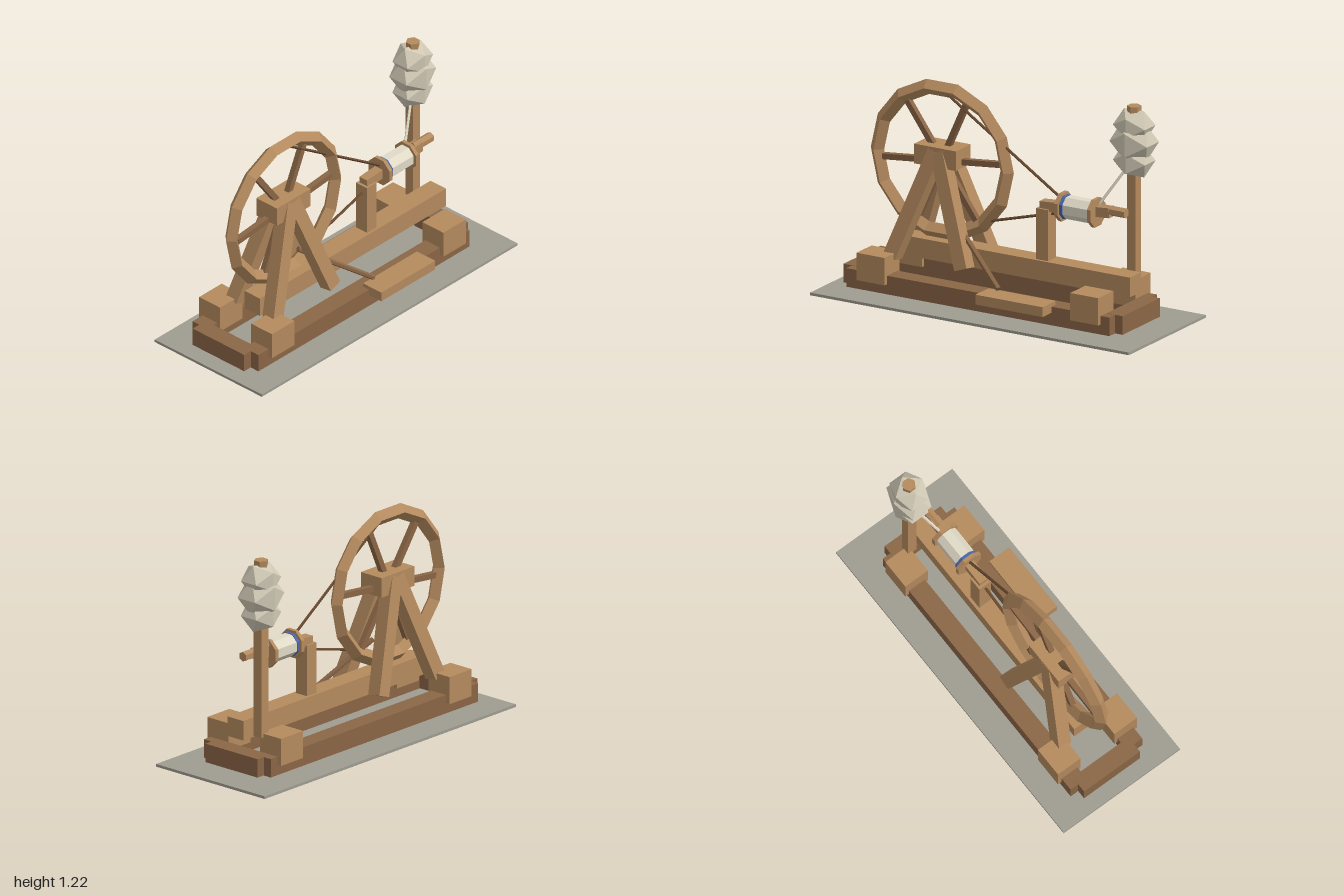
import * as THREE from 'three';

export function createModel() {
  const model = new THREE.Group();
  const mat = (name, color) => {
    const m = new THREE.MeshStandardMaterial({ color, flatShading: true });
    m.name = name;
    return m;
  };
  const lightWood = mat('light wood', 0xb48a5e);
  const darkWood = mat('dark wood', 0x8a6646);
  const cordBrown = mat('cord brown', 0x6a4a30);
  const stone = mat('stone grey', 0x9f9c91);
  const wool = mat('wool', 0xcfc8b4);
  const yarn = mat('yarn', 0xe0dac6);
  const blue = mat('blue', 0x4a66a8);

  const add = (name, geometry, material, x = 0, y = 0, z = 0) => {
    const m = new THREE.Mesh(geometry, material);
    m.name = name;
    m.position.set(x, y, z);
    model.add(m);
    return m;
  };
  // Box given by its limits on each axis
  const box = (name, material, x0, x1, y0, y1, z0, z1) =>
    add(name, new THREE.BoxGeometry(x1 - x0, y1 - y0, z1 - z0), material,
      (x0 + x1) / 2, (y0 + y1) / 2, (z0 + z1) / 2);
  // Square or round bar between two points
  const bar = (name, material, a, b, size, sides = 0) => {
    const p = new THREE.Vector3(...a), q = new THREE.Vector3(...b);
    const d = q.clone().sub(p), len = d.length();
    const g = sides ? new THREE.CylinderGeometry(size, size, len, sides)
      : new THREE.BoxGeometry(size, len, size);
    const m = add(name, g, material, ...p.add(q).multiplyScalar(0.5).toArray());
    m.quaternion.setFromUnitVectors(new THREE.Vector3(0, 1, 0), d.normalize());
    return m;
  };
  // Cylinder lying along x
  const disc = (name, material, x0, x1, y, r, sides) => {
    const g = new THREE.CylinderGeometry(r, r, x1 - x0, sides);
    g.rotateY(Math.PI / sides).rotateZ(Math.PI / 2);
    return add(name, g, material, (x0 + x1) / 2, y, 0);
  };

  // Ground slab and base frame
  box('groundSlab', stone, -1, 1, 0, 0.015, -0.39, 0.39);
  for (const s of [-1, 1]) {
    const z = s * 0.187;
    box('sideRail', darkWood, -0.865, 0.785, 0.03, 0.134, z - 0.053, z + 0.053);
    for (const x of [-0.698, 0.643])
      box('cornerBlock', lightWood, x - 0.088, x + 0.088, 0.087, 0.24, s * 0.189 - 0.076, s * 0.189 + 0.076);
  }
  box('endRail', darkWood, -0.917, -0.815, 0.031, 0.135, -0.19, 0.185);
  box('endRail', darkWood, 0.733, 0.835, 0.031, 0.135, -0.19, 0.185);

  // Main beam and treadle
  box('mainBeam', lightWood, -0.655, 0.8, 0.2, 0.31, -0.056, 0.056);
  box('treadle', lightWood, 0, 0.422, 0.1, 0.155, 0.197, 0.33);
  bar('treadleRod', darkWood, [-0.33, 0.46, 0.03], [0.07, 0.165, 0.21], 0.015, 6);

  // Splayed legs carrying the wheel
  for (const sx of [-1, 1])
    for (const sz of [-1, 1])
      bar('leg', lightWood, [-0.415 + sx * 0.225, 0.213, sz * 0.135],
        [-0.412 + sx * 0.008, 0.81, sz * 0.037], 0.08);

  // Drive wheel: diamond-section rim, hub and six spokes
  const cx = -0.412, cy = 0.75;
  add('wheelRim', new THREE.TorusGeometry(0.407, 0.042, 4, 14), lightWood, cx, cy, 0);
  box('hub', lightWood, cx - 0.131, cx + 0.131, 0.73, 0.84, -0.075, 0.075);
  for (let i = 0; i < 6; i++) {
    const a = 0.1 + i * Math.PI / 3;
    bar('spoke', darkWood, [cx, cy, 0],
      [cx + 0.37 * Math.cos(a), cy + 0.37 * Math.sin(a), 0], 0.032);
  }

  // Spindle support and shaft
  box('spindlePost', lightWood, 0.2, 0.275, 0.31, 0.595, -0.04, 0.04);
  bar('spindleBar', lightWood, [0.215, 0.605, 0], [0.65, 0.637, 0], 0.055);
  disc('spindleTip', lightWood, 0.6, 0.742, 0.645, 0.028, 6);

  // Bobbin with flanges, wound yarn and a blue band
  for (const x of [0.347, 0.554]) disc('bobbinFlange', lightWood, x - 0.011, x + 0.011, 0.62, 0.083, 8);
  disc('woundYarn', yarn, 0.358, 0.543, 0.62, 0.065, 8);
  disc('blueBand', blue, 0.358, 0.378, 0.62, 0.068, 8);

  // Distaff with a clump of wool
  box('distaffPost', lightWood, 0.694, 0.749, 0.22, 1.18, -0.14, -0.085);
  for (const [y, rx, ry, rz] of [[0.91, 0.118, 0.103, 0.104], [1.015, 0.138, 0.125, 0.118], [1.107, 0.118, 0.1, 0.104]]) {
    const m = add('woolClump', new THREE.IcosahedronGeometry(1, 0), wool, 0.722, y, -0.113);
    m.scale.set(rx, ry, rz);
  }
  add('distaffCap', new THREE.CylinderGeometry(0.038, 0.038, 0.05, 6), lightWood, 0.722, 1.19, -0.113);

  // Yarn strand and drive cords
  bar('yarnStrand', yarn, [0.69, 0.87, -0.095], [0.56, 0.66, -0.02], 0.008, 5);
  bar('driveCord', cordBrown, [-0.375, 1.13, 0.012], [0.345, 0.655, 0], 0.008, 5);
  bar('driveCord', cordBrown, [-0.34, 0.36, 0.012], [-0.1, 0.465, 0.008], 0.008, 5);
  bar('driveCord', cordBrown, [-0.1, 0.465, 0.008], [0.345, 0.585, 0], 0.008, 5);

  return model;
}
